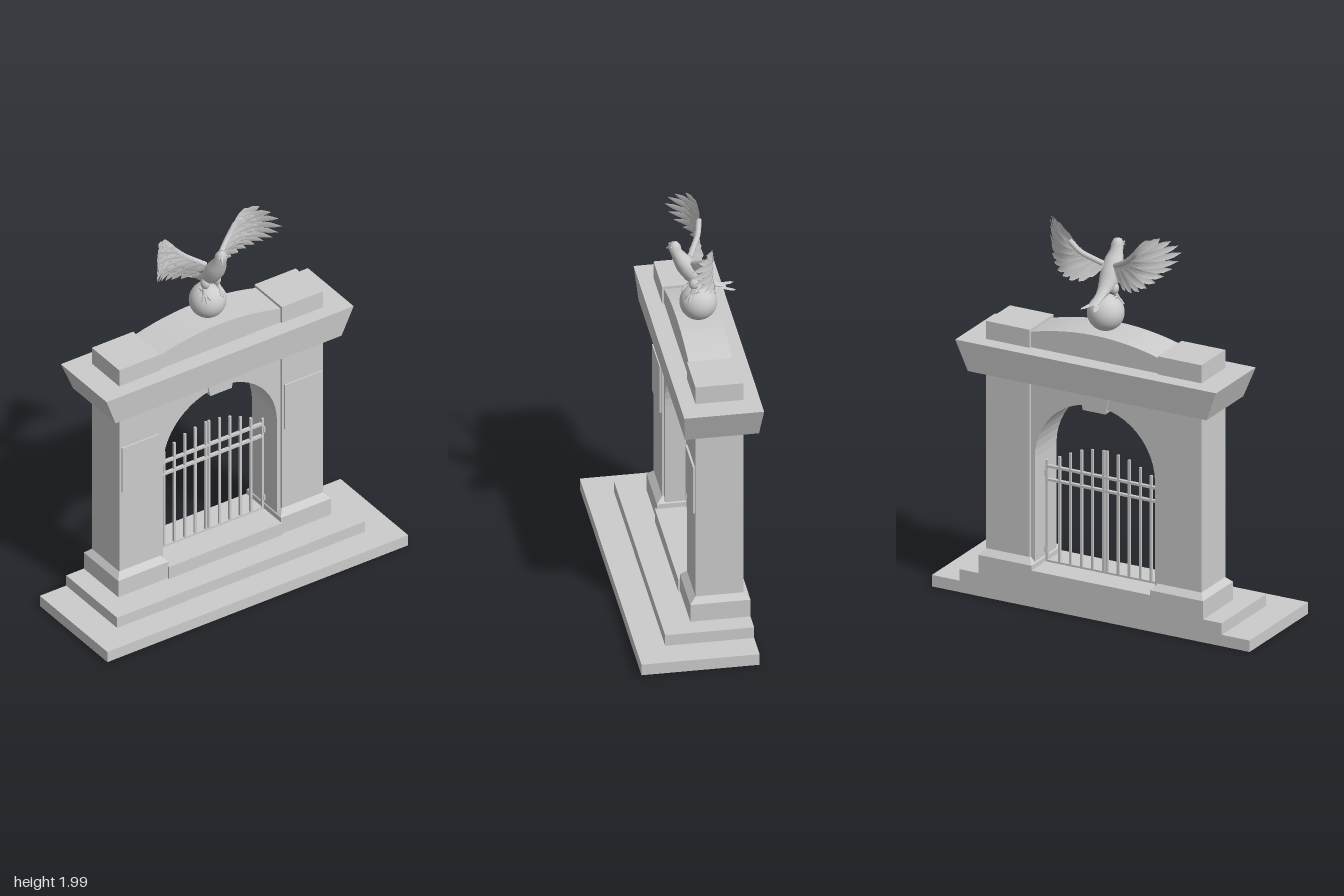
import * as THREE from 'three';

const grey = new THREE.MeshStandardMaterial({ color: 0xcccccc });
const thin = new THREE.MeshStandardMaterial({ color: 0xcccccc, side: THREE.DoubleSide });

export function createModel() {
  const model = new THREE.Group();
  const V = (x, y, z) => new THREE.Vector3(x, y, z);
  const add = (name, geo, mat = grey, parent = model) => {
    const m = new THREE.Mesh(geo, mat);
    m.name = name;
    parent.add(m);
    return m;
  };

  // Block between two heights; footprints are [x0, x1, z0, z1], the top may differ
  const block = (name, y0, y1, bottom, top = bottom, parent = model) => {
    const geo = new THREE.BoxGeometry(1, 1, 1), p = geo.attributes.position;
    for (let i = 0; i < p.count; i++) {
      const up = p.getY(i) > 0, f = up ? top : bottom;
      p.setXYZ(i, f[p.getX(i) > 0 ? 1 : 0], up ? y1 : y0, f[p.getZ(i) > 0 ? 3 : 2]);
    }
    geo.computeVertexNormals();
    return add(name, geo, grey, parent);
  };
  const mirrored = (name, y0, y1, b, t = b) => {
    const flip = f => [-f[1], -f[0], f[2], f[3]];
    block(name + 'Left', y0, y1, b, t);
    block(name + 'Right', y0, y1, flip(b), flip(t));
  };
  const extrude = (name, shape, z0, z1) => {
    const geo = new THREE.ExtrudeGeometry(shape, { depth: z1 - z0, bevelEnabled: false, curveSegments: 12 });
    add(name, geo.translate(0, 0, z0));
  };

  // Hollow steps, open below: four walls and a top cut out for the next step
  const BACK = -0.267;
  const hollowStep = (name, x, z1, y0, y1, hx, hz) => {
    const group = new THREE.Group();
    group.name = name;
    const walls = new THREE.BoxGeometry(2 * x, y1 - y0, z1 - BACK);
    const ix = Array.from(walls.index.array);
    walls.setIndex([...ix.slice(0, 12), ...ix.slice(24)]);
    add(name + 'Walls', walls.translate(0, (y0 + y1) / 2, (z1 + BACK) / 2), thin, group);
    let pts = [[-x, z1], [x, z1], [x, BACK]];
    if (hx) pts.push([hx, BACK], [hx, hz], [-hx, hz], [-hx, BACK]);
    pts.push([-x, BACK]);
    const top = new THREE.ShapeGeometry(new THREE.Shape(pts.map(([a, b]) => new THREE.Vector2(a, -b))));
    add(name + 'Top', top.rotateX(-Math.PI / 2).translate(0, y1, 0), thin, group);
    model.add(group);
  };
  hollowStep('lowerStep', 0.885, 0.315, 0, 0.06, 0.73, 0.172);
  hollowStep('upperStep', 0.73, 0.172, 0.06, 0.12, 0.335, 0.04);
  hollowStep('threshold', 0.335, 0.04, 0.12, 0.19);

  // Pillars with plinths and shallow front panels
  const shaft = [0.357, 0.6, -0.236, 0], foot = [0.33, 0.626, BACK, 0.03];
  mirrored('plinth', 0.12, 0.215, foot);
  mirrored('plinthChamfer', 0.215, 0.245, foot, shaft);
  mirrored('pillar', 0.245, 1.18, shaft);
  mirrored('pillarPanel', 0.71, 0.97, [0.37, 0.587, -0.01, 0.01]);

  // Arched wall and keystone
  const arch = new THREE.Shape();
  arch.moveTo(-0.36, 0.19).lineTo(-0.335, 0.19).lineTo(-0.335, 0.765);
  arch.absarc(0, 0.765, 0.335, Math.PI, 0, true);
  arch.lineTo(0.335, 0.19).lineTo(0.36, 0.19).lineTo(0.36, 1.18).lineTo(-0.36, 1.18);
  extrude('archWall', arch, -0.225, -0.01);
  block('keystone', 1.07, 1.18, [-0.063, 0.063, -0.234, -0.001], [-0.086, 0.086, -0.234, -0.001]);

  // Cornice, corner blocks and curved crest
  block('cornice', 1.18, 1.338, [-0.665, 0.665, -0.302, 0.063], [-0.727, 0.727, -0.317, 0.077]);
  mirrored('cornerBlock', 1.338, 1.432, shaft);
  const crest = new THREE.Shape();
  crest.moveTo(-0.357, 1.338).lineTo(0.357, 1.338).lineTo(0.357, 1.418);
  crest.quadraticCurveTo(0, 1.516, -0.357, 1.418);
  extrude('crest', crest, -0.225, -0.01);

  // Gate: bars rising to the middle, rails and hinges
  const gate = new THREE.Group();
  gate.name = 'gate';
  model.add(gate);
  const GZ = -0.12;
  const gateBox = (name, x, y0, y1, w, d = 0.006) =>
    block(name, y0, y1, [x - w, x + w, GZ - d, GZ + d], undefined, gate);
  [[0.009, 0.83], [0.072, 0.822], [0.133, 0.808], [0.195, 0.78], [0.255, 0.75], [0.325, 0.72]].forEach(([x, top]) => {
    for (const s of [1, -1]) gateBox('gateBar', s * x, 0.195, top, 0.006);
  });
  for (const y of [0.62, 0.69]) gateBox('gateRail', 0, y - 0.006, y + 0.006, 0.328, 0.009);
  gateBox('bottomRail', 0, 0.19, 0.2, 0.328);
  for (const s of [1, -1]) for (const y of [0.255, 0.655]) gateBox('hinge', s * 0.332, y - 0.015, y + 0.015, 0.007, 0.01);

  // Ball on the crest
  const ball = V(0, 1.553, -0.117), R = 0.092;
  add('ball', new THREE.SphereGeometry(R, 32, 20).translate(ball.x, ball.y, ball.z));

  // Bird
  const bird = new THREE.Group();
  bird.name = 'bird';
  model.add(bird);

  // Body lofted from elliptical sections: y, z, half width, half depth
  const rings = [
    [1.903, 0.002, 0.003, 0.003], [1.895, 0.002, 0.02, 0.02], [1.872, 0, 0.031, 0.031],
    [1.842, -0.008, 0.032, 0.028], [1.805, -0.028, 0.046, 0.038], [1.765, -0.052, 0.054, 0.046],
    [1.715, -0.085, 0.05, 0.044], [1.68, -0.125, 0.036, 0.03], [1.657, -0.17, 0.026, 0.017],
    [1.64, -0.215, 0.024, 0.008], [1.632, -0.25, 0.022, 0.002]];
  const N = 18, pos = [], idx = [];
  rings.forEach(([y, z, rx, rd], i) => {
    const a = rings[Math.max(i - 1, 0)], b = rings[Math.min(i + 1, rings.length - 1)];
    const len = Math.hypot(b[0] - a[0], b[1] - a[1]), ty = (b[0] - a[0]) / len, tz = (b[1] - a[1]) / len;
    for (let j = 0; j < N; j++) {
      const t = j / N * 2 * Math.PI, c = Math.cos(t) * rx, s = Math.sin(t) * rd;
      pos.push(c, y + s * tz, z - s * ty);
      if (i < rings.length - 1) {
        const p = i * N + j, q = i * N + (j + 1) % N;
        idx.push(p, q, p + N, q, q + N, p + N);
      }
    }
  });
  const body = new THREE.BufferGeometry();
  body.setAttribute('position', new THREE.Float32BufferAttribute(pos, 3));
  body.setIndex(idx);
  body.computeVertexNormals();
  add('body', body, grey, bird);

  // Hooked beak and eyes, head turned slightly aside
  const tube = (name, pts, r, parent = bird) =>
    add(name, new THREE.TubeGeometry(new THREE.CatmullRomCurve3(pts), 10, r, 8), thin, parent);
  const beak = new THREE.ConeGeometry(0.014, 0.04, 10);
  beak.applyQuaternion(new THREE.Quaternion().setFromUnitVectors(V(0, 1, 0), V(-0.35, -0.6, 0.7).normalize()));
  add('beak', beak.translate(-0.015, 1.866, 0.027), grey, bird);
  for (const s of [1, -1]) add('eye', new THREE.SphereGeometry(0.005, 8, 6).translate(s * 0.022 - 0.004, 1.88, 0.021), grey, bird);

  // Feather blade drawn on a plane and bent onto a surface by map(u, v)
  const blade = (name, u0, v0, u1, v1, half, map) => {
    const geo = new THREE.PlaneGeometry(1, 1, 2, 8), p = geo.attributes.position;
    const L = Math.hypot(u1 - u0, v1 - v0), nu = -(v1 - v0) / L, nv = (u1 - u0) / L;
    for (let i = 0; i < p.count; i++) {
      const t = p.getY(i) + 0.5, side = p.getX(i) * 2;
      const w = side * half * (0.7 + 0.3 * t) * Math.sqrt(Math.max(0, 1 - Math.pow(t, 5)));
      const q = map(u0 + (u1 - u0) * t + nu * w, v0 + (v1 - v0) * t + nv * w);
      p.setXYZ(i, q.x, q.y, q.z + (1 - Math.abs(side)) * 0.004);
    }
    geo.computeVertexNormals();
    add(name, geo, thin, bird);
  };

  // Wings sweep back, then curl forward at the tips
  const bend = new THREE.SplineCurve([[0, -0.07], [0.06, -0.1], [0.13, -0.14], [0.21, -0.155], [0.29, -0.115], [0.35, -0.04], [0.39, 0.015]]
    .map(([x, z]) => new THREE.Vector2(x, z)));
  const wingZ = x => {
    let lo = 0, hi = 1;
    for (let k = 0; k < 14; k++) bend.getPoint((lo + hi) / 2).x < x ? lo = (lo + hi) / 2 : hi = (lo + hi) / 2;
    return bend.getPoint(lo).y;
  };
  const arm = new THREE.SplineCurve([[0.035, 1.79], [0.085, 1.82], [0.13, 1.85], [0.185, 1.905]].map(a => new THREE.Vector2(...a)));
  const tips = [[0.09, 1.725], [0.13, 1.702], [0.175, 1.705], [0.215, 1.717], [0.25, 1.737], [0.283, 1.762], [0.312, 1.79],
    [0.338, 1.822], [0.357, 1.858], [0.367, 1.9], [0.357, 1.94], [0.333, 1.97], [0.297, 1.992], [0.255, 1.982]];
  for (const s of [1, -1]) {
    const layer = (name, reach, half, lift) => tips.forEach(([x, y], i) => {
      const a = arm.getPoint(i / (tips.length - 1));
      blade(name, a.x, a.y, a.x + (x - a.x) * reach, a.y + (y - a.y) * reach, half,
        (u, v) => V(s * u, v, wingZ(u) + lift + (i % 2) * 0.003 - Math.max(0, 1.8 - v) * 0.2));
    });
    layer('flightFeather', 1, 0.021, 0);
    layer('covertFeather', 0.66, 0.021, 0.008);
    layer('smallFeather', 0.4, 0.02, 0.014);
    tube('wingArm', [0, 0.33, 0.66, 1].map(t => arm.getPoint(t)).map(a => V(s * a.x, a.y, wingZ(a.x) + 0.004)), 0.014);

    // Forked tail
    blade('tailFeather', 0, -0.18, s * 0.04, -0.298, 0.015, (u, v) => V(u, 1.622 + Math.pow(v + 0.3, 2) * 1.6, v));

    // Legs with toes gripping the ball
    add('thigh', new THREE.SphereGeometry(0.025, 14, 10).scale(0.9, 1.25, 1).translate(s * 0.033, 1.675, -0.09), grey, bird);
    tube('shank', [V(s * 0.034, 1.66, -0.09), V(s * 0.04, 1.645, -0.088), V(s * 0.045, 1.62, -0.075)], 0.011);
    const grip = (x, z) => V(s * x, ball.y + Math.sqrt(R * R - x * x - (z - ball.z) ** 2) + 0.003, z);
    for (const [x, z] of [[0.03, -0.042], [0.05, -0.045], [0.066, -0.062], [0.045, -0.115]])
      tube('toe', [grip(0.044, -0.078), grip((x + 0.046) / 2, (z - 0.076) / 2), grip(x, z)], 0.007);
  }
  return model;
}
